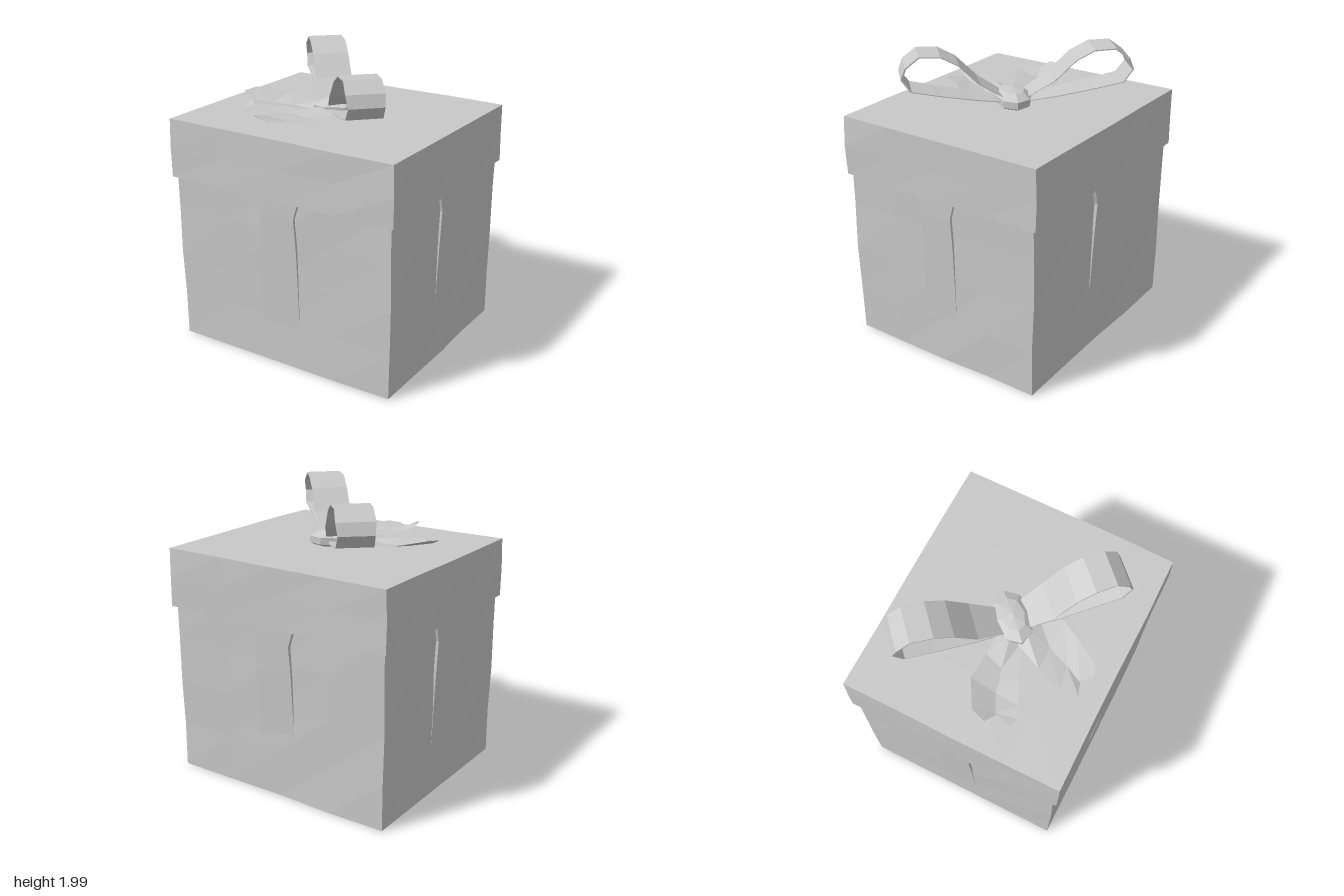
import * as THREE from 'three';

const paper = new THREE.MeshStandardMaterial({ color: 0xc8c8c8, flatShading: true, side: THREE.DoubleSide });
paper.name = 'plain grey';

function addMesh(parent, name, geometry) {
  geometry.computeVertexNormals();
  const mesh = new THREE.Mesh(geometry, paper);
  mesh.name = name;
  parent.add(mesh);
  return mesh;
}

// Small repeatable unevenness, equal for equal positions so seams stay closed
function wobble(x, y, z, k) {
  const s = Math.sin(x * 12.9 + y * 78.2 + z * 37.7 + k * 19.1) * 4375.5;
  return (s - Math.floor(s) - 0.5) * 2;
}

// Box between two heights with tapering sides and slightly crumpled faces
function crumpledBox(bottom, top, y0, y1, segs, amount) {
  const g = new THREE.BoxGeometry(2, 1, 2, segs[0], segs[1], segs[2]);
  const p = g.attributes.position;
  for (let i = 0; i < p.count; i++) {
    const x = Math.round(p.getX(i) * 100) / 100;
    const t = Math.round((p.getY(i) + 0.5) * 100) / 100;
    const z = Math.round(p.getZ(i) * 100) / 100;
    const n = (k) => wobble(x, t, z, k) * amount;
    const hw = bottom[0] + (top[0] - bottom[0]) * t;
    const hd = bottom[1] + (top[1] - bottom[1]) * t;
    p.setXYZ(i, x * hw + n(1), y0 + (y1 - y0) * t + n(2) * 0.6, z * hd + n(3));
  }
  return g;
}

// Sheet or closed band through rows of points
function sheet(rows) {
  const n = rows[0].length;
  const index = [];
  for (let r = 0; r < rows.length - 1; r++) {
    for (let c = 0; c < n - 1; c++) {
      const a = r * n + c;
      index.push(a, a + 1, a + n, a + 1, a + n + 1, a + n);
    }
  }
  const g = new THREE.BufferGeometry();
  g.setAttribute('position', new THREE.Float32BufferAttribute(rows.flat(2), 3));
  g.setIndex(index);
  return g;
}

// Hanging ribbon: flush with the lid at the top, sinking into the box lower down
function hangingRibbon(parent, name, lidFace, wallFace, halfWidth, angle) {
  const sections = [ // height, width factor, protrusion
    [1.26, 1.2, 1], [1.2, 1.12, 1], [1.1, 0.9, 0.95], [0.9, 0.98, 0.7], [0.65, 1, 0.3], [0.3, 1, -0.25],
  ];
  const rows = sections.map(([y, w, t]) => {
    const out = wallFace + (lidFace - wallFace) * t;
    const h = halfWidth * w;
    return [[-h, y, wallFace - 0.03], [-h, y, out], [h, y, out], [h, y, wallFace - 0.03]];
  });
  addMesh(parent, name, sheet(rows)).rotation.y = angle;
}

// Bow loop: a flat band following a teardrop path
function bowLoop(parent, name, reach, angle) {
  const path = [ // distance from the knot, height, half width
    [0.04, 1.65, 0.09], [0.24, 1.78, 0.125], [0.38, 1.92, 0.125], [0.5, 1.985, 0.125],
    [0.64, 1.99, 0.12], [0.73, 1.92, 0.125], [0.76, 1.84, 0.115], [0.7, 1.755, 0.12],
    [0.5, 1.71, 0.11], [0.26, 1.665, 0.1], [0.04, 1.63, 0.08],
  ];
  // a slim thickness, with the inner face drawn toward the loop's middle
  const rows = path.map(([r, y, w]) => {
    const ri = r + (0.5 - r) * 0.04;
    const yi = y + (1.83 - y) * 0.05;
    return [[r * reach, y, -w], [r * reach, y, w], [ri * reach, yi, w], [ri * reach, yi, -w], [r * reach, y, -w]];
  });
  addMesh(parent, name, sheet(rows)).rotation.y = angle;
}

export function createModel() {
  const model = new THREE.Group();
  model.name = 'giftBox';

  // Box body and overhanging lid
  addMesh(model, 'boxBody', crumpledBox([0.83, 0.72], [0.838, 0.73], 0.006, 1.3, [4, 4, 4], 0.005));
  addMesh(model, 'lid', crumpledBox([0.86, 0.755], [0.856, 0.755], 1.2, 1.608, [4, 2, 4], 0.004));

  // Ribbon on the four walls
  hangingRibbon(model, 'frontRibbon', 0.753, 0.725, 0.145, 0);
  hangingRibbon(model, 'backRibbon', 0.753, 0.725, 0.145, Math.PI);
  hangingRibbon(model, 'leftRibbon', 0.857, 0.835, 0.122, Math.PI / 2);
  hangingRibbon(model, 'rightRibbon', 0.857, 0.835, 0.122, -Math.PI / 2);

  // Bow set diagonally on the lid
  const bow = new THREE.Group();
  bow.name = 'bow';
  model.add(bow);
  bowLoop(bow, 'frontLoop', 1, -Math.PI / 4);
  bowLoop(bow, 'backLoop', 1.04, Math.PI - 0.83);

  // Knot
  const knot = addMesh(bow, 'knot', new THREE.SphereGeometry(1, 8, 5));
  knot.scale.set(0.13, 0.075, 0.2);
  knot.rotation.y = -Math.PI / 4;
  knot.position.set(0.01, 1.645, 0);

  // Two notched ribbon tails lying on the lid
  addMesh(bow, 'sideTail', sheet([
    [[-0.08, 1.65, -0.04], [-0.1, 1.67, 0.04], [-0.1, 1.63, 0.12]],
    [[-0.28, 1.64, -0.04], [-0.32, 1.625, 0.09], [-0.34, 1.65, 0.22]],
    [[-0.47, 1.66, -0.05], [-0.48, 1.63, 0.13], [-0.5, 1.65, 0.3]],
    [[-0.66, 1.7, 0.06], [-0.6, 1.65, 0.19], [-0.57, 1.63, 0.33]],
    [[-0.69, 1.69, 0.16], [-0.61, 1.65, 0.2], [-0.63, 1.64, 0.31]],
  ]));
  addMesh(bow, 'frontTail', sheet([
    [[-0.13, 1.64, 0.1], [-0.02, 1.67, 0.1], [0.1, 1.64, 0.14]],
    [[-0.22, 1.64, 0.3], [-0.06, 1.625, 0.3], [0.14, 1.65, 0.3]],
    [[-0.29, 1.655, 0.48], [-0.12, 1.63, 0.45], [0.06, 1.66, 0.44]],
    [[-0.28, 1.68, 0.6], [-0.18, 1.64, 0.56], [-0.03, 1.66, 0.6]],
    [[-0.27, 1.685, 0.595], [-0.18, 1.64, 0.57], [-0.11, 1.65, 0.63]],
  ]));

  return model;
}
